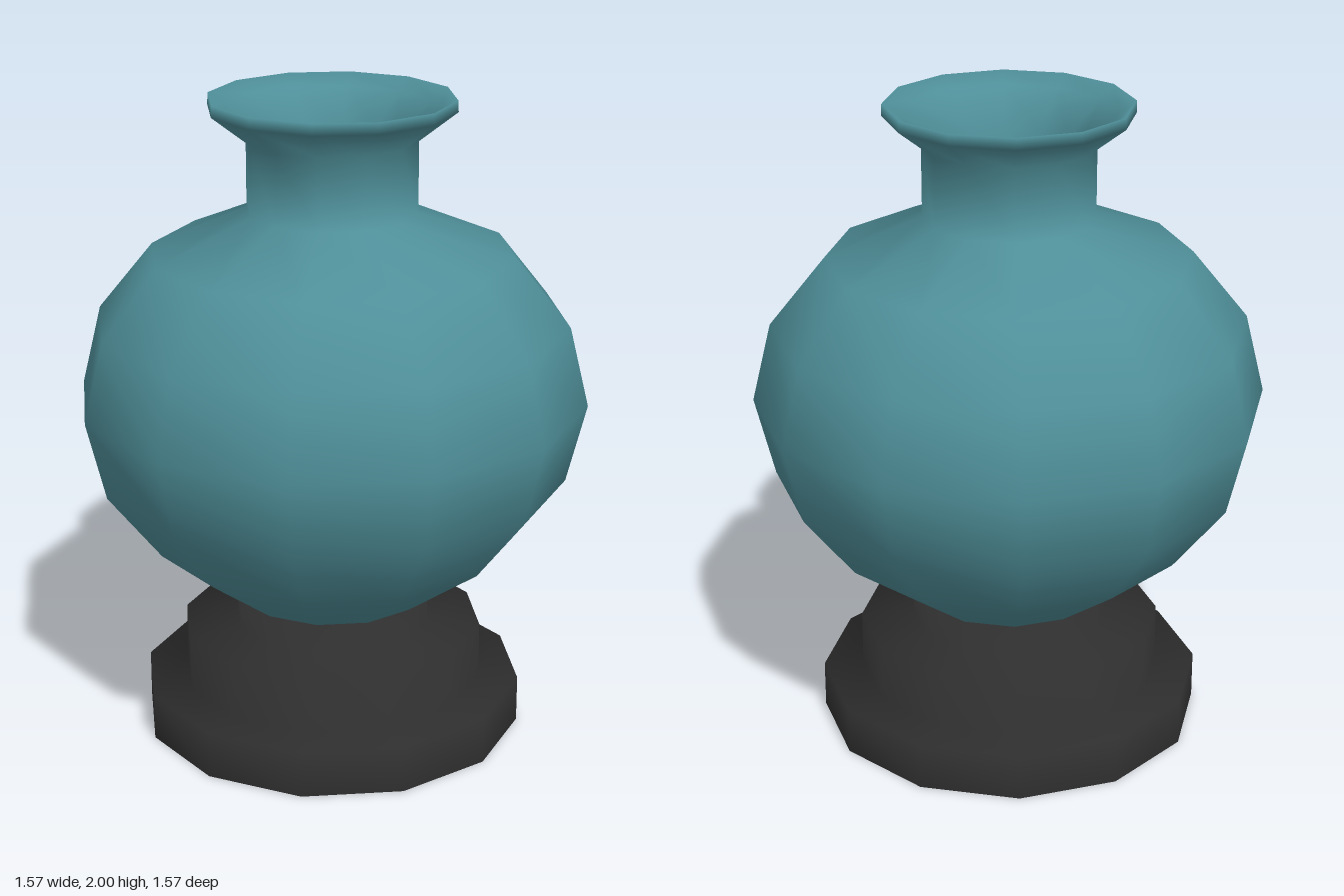
import * as THREE from 'three';

const SIDES = 12;

// Smooth-shaded turned part from [radius, height] pairs
function turned(name, profile, color) {
  const points = profile.map(([r, y]) => new THREE.Vector2(r, y));
  const mesh = new THREE.Mesh(
    new THREE.LatheGeometry(points, SIDES),
    new THREE.MeshStandardMaterial({ color })
  );
  mesh.name = name;
  return mesh;
}

export function createModel() {
  const group = new THREE.Group();
  group.name = 'vaseOnStand';

  // Stepped stand: three stacked tiers
  group.add(turned('stand', [
    [0.597, 0], [0.597, 0.147],
    [0.472, 0.147], [0.472, 0.325],
    [0.305, 0.325], [0.305, 0.43], [0, 0.43],
  ], 0x2e2e2e));

  // Flat underside of the stand
  const underside = new THREE.Mesh(
    new THREE.CircleGeometry(0.597, SIDES),
    new THREE.MeshStandardMaterial({ color: 0x2e2e2e })
  );
  underside.name = 'standUnderside';
  underside.rotation.x = Math.PI / 2;
  group.add(underside);

  // Vase: belly, shoulder, neck, flared lip, then down the inside of the neck
  group.add(turned('vase', [
    [0, 0.43], [0.305, 0.43], [0.558, 0.615], [0.725, 0.83], [0.785, 1.075],
    [0.725, 1.32], [0.555, 1.53], [0.26, 1.655],
    [0.26, 1.875], [0.375, 1.965], [0.373, 2],
    [0.325, 1.965], [0.207, 1.86], [0.207, 1.62],
  ], 0x4f8f99));

  // Pale filling at the bottom of the neck
  const filling = new THREE.Mesh(
    new THREE.CircleGeometry(0.207, SIDES),
    new THREE.MeshStandardMaterial({ color: 0xdadeae })
  );
  filling.name = 'filling';
  filling.rotation.x = -Math.PI / 2;
  filling.position.y = 1.62;
  group.add(filling);

  return group;
}
